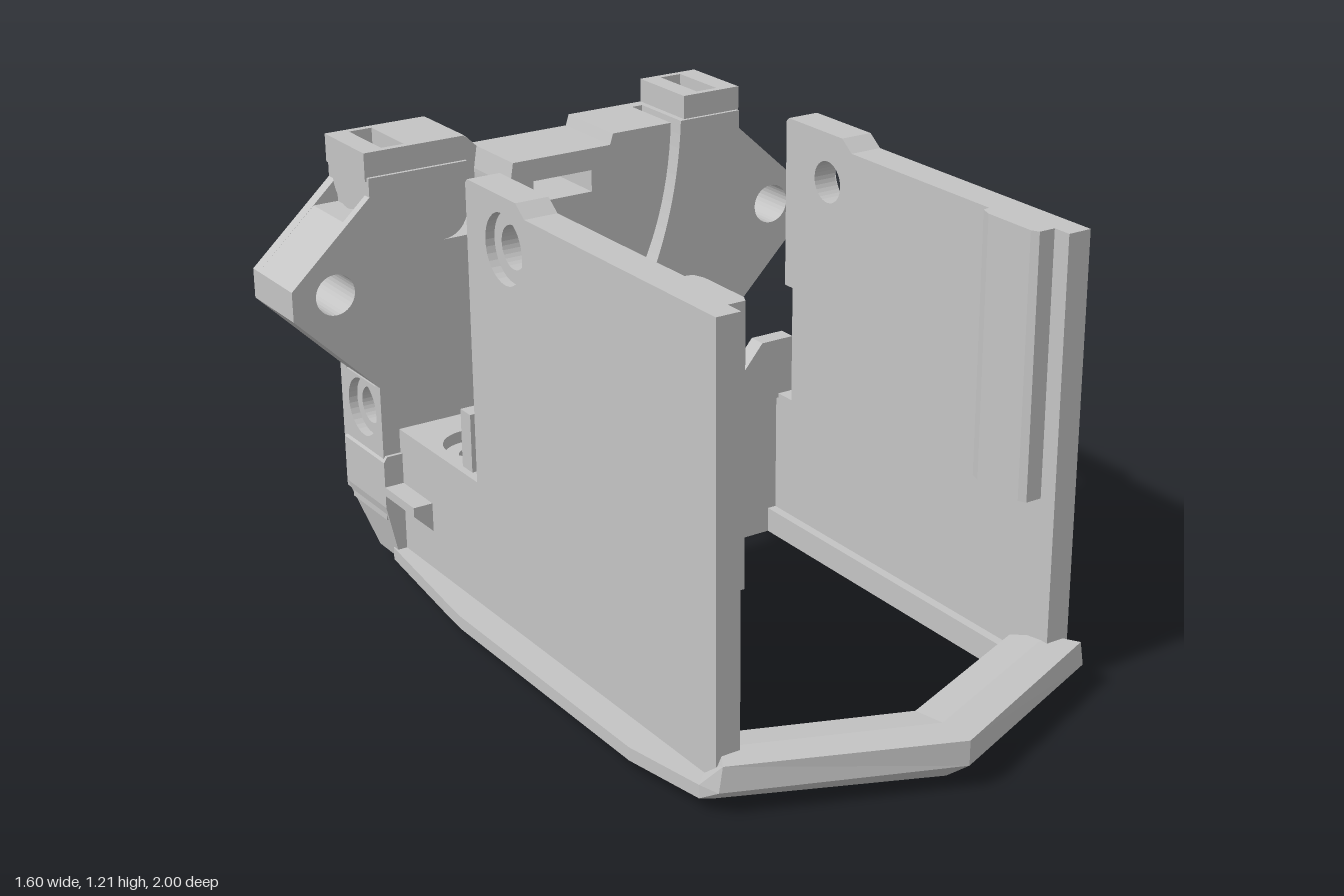
import * as THREE from 'three';

const grey = new THREE.MeshStandardMaterial({ color: 0xc4c4c4, side: THREE.DoubleSide });
grey.name = 'plain grey';

const poly = (pts) => new THREE.Shape(pts.map(([x, y]) => new THREE.Vector2(x, y)));
const mirrored = (pts, s) => pts.map(([x, y]) => [s * x, y]);
const rect = (x0, y0, x1, y1) => [[x0, y0], [x1, y0], [x1, y1], [x0, y1]];
const circle = (x, y, r) => Array.from({ length: 32 }, (_, i) => {
  const a = i * Math.PI / 16;
  return [x + r * Math.cos(a), y + r * Math.sin(a)];
});

function extrude(pts, holes, depth) {
  const shape = poly(pts);
  holes.forEach((h) => shape.holes.push(new THREE.Path(poly(h).getPoints())));
  return new THREE.ExtrudeGeometry(shape, { depth, bevelEnabled: false });
}
// Outline in x,y pushed from z0 to z1
const alongZ = (pts, holes, z0, z1) => extrude(pts, holes, z1 - z0).translate(0, 0, z0);
// Outline in z,y pushed between two x values, on side s
const alongX = (s, pts, holes, a, b) => extrude(pts, holes, b - a).rotateY(-Math.PI / 2).translate(s > 0 ? b : -a, 0, 0);
// Outline in x,z pushed from y0 to y1
const alongY = (pts, holes, y0, y1) => {
  const flip = (l) => l.map(([x, z]) => [x, -z]);
  return extrude(flip(pts), holes.map(flip), y1 - y0).rotateX(-Math.PI / 2).translate(0, y0, 0);
};

// Skin a row of equal cross-sections and cap both ends
function loft(sections) {
  const n = sections[0].length, idx = [];
  for (let s = 0; s < sections.length - 1; s++) {
    for (let i = 0; i < n; i++) {
      const a = s * n + i, b = s * n + (i + 1) % n;
      idx.push(a, b, b + n, a, b + n, a + n);
    }
  }
  const e = (sections.length - 1) * n;
  for (let i = 1; i < n - 1; i++) idx.push(0, i + 1, i, e, e + i, e + i + 1);
  const g = new THREE.BufferGeometry();
  g.setAttribute('position', new THREE.Float32BufferAttribute(sections.flat(2), 3));
  g.setIndex(idx);
  const flat = g.toNonIndexed();
  flat.computeVertexNormals();
  return flat;
}

export function createModel() {
  const model = new THREE.Group();
  const add = (name, geometry) => {
    const m = new THREE.Mesh(geometry, grey);
    m.name = name;
    model.add(m);
  };

  // Base frame: inner x,z, outer x,z, top height
  const half = [
    [0.43, -0.41, 0.59, -0.41, 0.07],
    [0.43, -0.3, 0.6, -0.3, 0.07],
    [0.43, 0.5, 0.6, 0.5, 0.07],
    [0.43, 0.61, 0.56, 0.73, 0.07],
    [0.43, 0.63, 0.54, 0.78, 0.13],
    [0, 0.8, 0, 1, 0.13],
  ];
  const stations = [...half, ...half.slice(0, -1).reverse().map(([a, b, c, d, h]) => [-a, b, -c, d, h])];
  add('baseFrame', loft(stations.map(([xi, zi, xo, zo, h]) => [
    [xi, 0, zi],
    [xo * 0.93, 0, zo > 0.6 ? zo - 0.08 : zo],
    [xo, h > 0.1 ? 0.065 : 0.035, zo],
    [xo * (h > 0.1 ? 0.98 : 1), h, zo],
    [(xi + xo) / 2, h, (zi + zo) / 2],
    [xi, h > 0.1 ? 0.115 : 0.07, zi],
  ])));

  // Rear floor with forked slot and screw holes
  const slot = [[-0.08, -0.73], [0.08, -0.73], [0.08, -0.59], [0.03, -0.54], [0.03, -0.48],
    [-0.03, -0.48], [-0.03, -0.54], [-0.08, -0.59]];
  const bores = [-0.39, 0.39].map((x) => circle(x, -0.55, 0.055));
  const floorPlan = (w) => [[-w, -0.4], [w, -0.4], [w - 0.04, -0.76], [0.04 - w, -0.76]];
  add('rearFloorLower', alongY(floorPlan(0.56), [slot, ...bores], 0, 0.035));
  add('rearFloor', alongY(floorPlan(0.59), [slot, ...bores], 0.035, 0.07));
  add('rearFloorUpper', alongY(rect(-0.52, -0.76, 0.52, -0.4), [slot, ...bores], 0.07, 0.16));
  for (const x of [-0.03, 0.03]) add('slotFinger', new THREE.BoxGeometry(0.02, 0.14, 0.13).translate(x, 0.08, -0.67));

  // Sloped tail under the back plate
  const ring = (y, w, z) => [[-w, y, -0.74], [w, y, -0.74], [w, y, z + 0.03], [w - 0.03, y, z],
    [0.03 - w, y, z], [-w, y, z + 0.03]];
  add('slopedTail', loft([ring(0, 0.5, -0.86), ring(0.04, 0.54, -0.89), ring(0.2, 0.575, -1),
    ring(0.33, 0.575, -1), ring(0.345, 0.565, -0.98)]));

  // Screw blocks, counterbored at the top
  for (const s of [-1, 1]) {
    const hole = (r) => [circle(s * 0.39, -0.55, r)];
    const block = (inner) => rect(s * inner, -0.76, s * 0.52, -0.4);
    add('screwBlockLower', alongY(block(s < 0 ? 0.33 : 0.28), hole(0.055), 0.16, 0.3));
    add('screwBlock', alongY(block(s < 0 ? 0.27 : 0.2), hole(0.055), 0.3, 0.38));
    add('screwBlockTop', alongY(block(s < 0 ? 0.24 : 0.2), hole(0.095), 0.38, 0.412));
  }

  // Side walls and what stands on them
  const wallTop = [[-0.05, 1.18], [-0.09, 1.21], [-0.32, 1.21], [-0.33, 1.2]];
  const wall = [[0.74, 0.06], [0.74, 1.18], ...wallTop, [-0.33, 0.412], [-0.4, 0.412], [-0.4, 0.06]];
  const upperPanel = [[0.5, 0.75], [0.5, 1.18], ...wallTop, [-0.33, 0.75]];
  const wallHole = (r) => [circle(-0.15, 1.08, r)];
  for (const s of [-1, 1]) {
    add('upperPanel', alongX(s, upperPanel, wallHole(0.055), 0.43, 0.455));
    add('sideWall', alongX(s, wall, wallHole(0.055), 0.455, 0.495));
    add('sideWallSkin', alongX(s, wall, wallHole(0.09), 0.495, 0.52));
    add('screwRim', new THREE.RingGeometry(0.09, 0.104, 40).rotateY(Math.PI / 2).translate(s * 0.523, 1.08, -0.15));
    add('wallRib', alongY(mirrored([[0.46, 0.48], [0.41, 0.49], [0.4, 0.52], [0.4, 0.67], [0.41, 0.69], [0.46, 0.69]], s), [], 0.5, 1.18));
    add('guidePost', alongZ(mirrored([[0.34, 0.4], [0.34, 0.5], [0.4, 0.57], [0.5, 0.57], [0.5, 0.4]], s), [], -0.44, -0.39));
    add('rearLug', alongZ(mirrored([[0.5, 0.18], [0.52, 0.18], [0.575, 0.235], [0.575, 0.26], [0.5, 0.26]], s), [], -0.97, -0.58));
  }

  // Back plate edges: plain, and with the screw recesses cut in
  const plain = [[0.57, 0.18], [0.57, 0.54], [0.8, 0.77], [0.8, 0.85], [0.57, 1.06], [0.57, 1.11]];
  const recessed = [[0.57, 0.18], [0.57, 0.365], [0.5, 0.365], [0.5, 0.535], [0.57, 0.54],
    [0.8, 0.77], [0.8, 0.85], [0.635, 1], [0.565, 1], [0.565, 1.11]];
  const reversedLeft = (side) => mirrored(side, -1).reverse();
  const earHole = (s) => circle(s * 0.68, 0.82, 0.055);
  const centreHole = circle(0, 0.82, 0.07);

  // Back plate, rear layer
  add('backPlate', alongZ(
    [...plain, [0.16, 1.11], [0.15, 1.08], [-0.15, 1.08], [-0.18, 1.11], ...reversedLeft(plain)],
    [earHole(-1), earHole(1), centreHole, rect(-0.52, 0.37, -0.47, 0.48), rect(0.47, 0.37, 0.52, 0.48)],
    -0.98, -0.945));

  // Back plate, front layers: two pieces parted by a curved slit
  const arc = (a, c, b) => new THREE.QuadraticBezierCurve(...[a, c, b].map((p) => new THREE.Vector2(...p)))
    .getPoints(20).map((p) => [p.x, p.y]);
  for (const [side, z0, z1] of [[recessed, -0.945, -0.775], [plain, -0.775, -0.75]]) {
    add('plateFaceMain', alongZ([
      [-0.57, 0.16], [-0.34, 0.16], [-0.34, 0.31], [-0.24, 0.42], [-0.18, 0.465],
      ...arc([0.06, 0.465], [0.33, 0.72], [0.345, 1.11]),
      [0.16, 1.11], [0.15, 1.08], [-0.15, 1.08],
      ...arc([-0.16, 1.02], [-0.16, 0.91], [-0.09, 0.91]),
      ...arc([-0.37, 0.91], [-0.285, 0.91], [-0.285, 1.02]),
      [-0.285, 1.11], ...reversedLeft(side).slice(0, -1),
    ], [earHole(-1), centreHole, rect(-0.09, 0.96, 0.09, 1.02)], z0, z1));
    add('plateFaceSide', alongZ([
      ...arc([0.11, 0.4], [0.36, 0.72], [0.378, 1.11]),
      ...[...side].reverse().slice(0, -1),
      [0.57, 0.16], [0.3, 0.16], [0.3, 0.2], [0.17, 0.3], [0.17, 0.4],
    ], [earHole(1)], z0, z1));
  }

  // Corner caps with nut slots
  for (const [a, b] of [[-0.575, -0.285], [0.395, 0.575]]) {
    const x = a < 0 ? -0.515 : 0.45;
    add('cornerCap', alongY(rect(a, -0.98, b, -0.76), [rect(x, -0.96, x + 0.065, -0.78)], 1.1, 1.175));
  }
  add('topScrewRing', new THREE.RingGeometry(0.04, 0.055, 32).rotateX(-Math.PI / 2).translate(0, 1.083, -0.87));

  // Screw sockets: stepped bores below, rims in the upper recesses
  const socketBlock = rect(-0.945, 0.365, -0.775, 0.535);
  for (const s of [-1, 1]) {
    add('socketBore', alongX(s, socketBlock, [circle(-0.86, 0.45, 0.05)], 0.5, 0.545));
    add('socketMouth', alongX(s, socketBlock, [circle(-0.86, 0.45, 0.08)], 0.545, 0.57));
    add('upperSocketRim', new THREE.RingGeometry(0.055, 0.08, 32).rotateY(Math.PI / 2).translate(s * 0.579, 1.085, -0.86));
  }
  return model;
}
